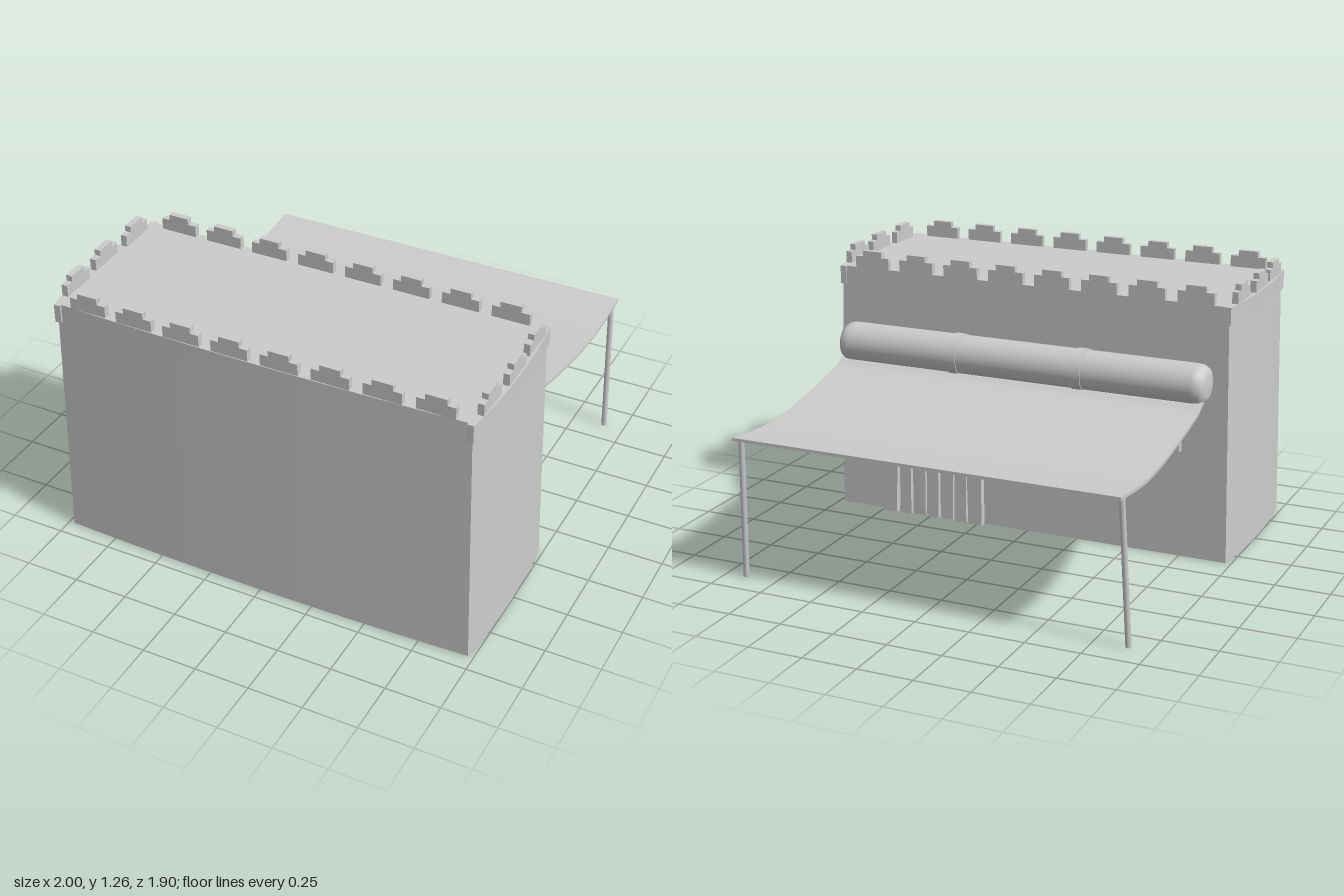
import * as THREE from 'three';

const stone = new THREE.MeshStandardMaterial({ color: 0xcccccc, side: THREE.DoubleSide });
stone.name = 'plain grey';

const BACK = 0.15, FRONT = 0.925, MID = (BACK + FRONT) / 2, TOP = 1.18;

// Outline of the building: walls bow outward and lean in a little with height
const sideX = (y, z) => 0.975 + 0.025 * (1 - ((z - MID) / (FRONT - MID)) ** 2) - 0.025 * (y / TOP);
const frontZ = (x, y) => FRONT + 0.022 * (1 - x * x) - 0.01 * (y / TOP);

export function createModel() {
  const model = new THREE.Group();
  model.name = 'fortHouse';

  const add = (name, geometry, x = 0, y = 0, z = 0, parent = model) => {
    const mesh = new THREE.Mesh(geometry, stone);
    mesh.name = name;
    mesh.position.set(x, y, z);
    parent.add(mesh);
    return mesh;
  };
  const box = (name, w, h, d, x, y, z, parent) => add(name, new THREE.BoxGeometry(w, h, d), x, y, z, parent);
  const warp = (geometry, rule) => {
    const p = geometry.attributes.position;
    for (let i = 0; i < p.count; i++) p.setXYZ(i, ...rule(p.getX(i), p.getY(i), p.getZ(i)));
    geometry.computeVertexNormals();
    return geometry;
  };
  const group = (name) => {
    const g = new THREE.Group();
    g.name = name;
    model.add(g);
    return g;
  };

  // Walls and roof, open underneath
  const walls = new THREE.BoxGeometry(2, 1, 1, 12, 4, 8);
  const floor = walls.groups[3];
  const index = Array.from(walls.index.array);
  index.splice(floor.start, floor.count);
  walls.setIndex(index);
  walls.clearGroups();
  add('walls', warp(walls, (x, v, w) => {
    const y = (v + 0.5) * TOP;
    const zFlat = MID + w * (FRONT - BACK);
    const px = x * sideX(y, zFlat);
    const back = BACK + 0.005 * (y / TOP);
    return [px, y, back + (w + 0.5) * (frontZ(x, y) - back)];
  }));

  // Raised band along the top of both end walls
  for (const s of [-1, 1]) {
    const band = new THREE.BoxGeometry(0.03, 0.085, FRONT - BACK + 0.005, 1, 1, 8);
    add(s > 0 ? 'leftBand' : 'rightBand', warp(band, (x, y, z) =>
      [s * (sideX(1.14, MID + z) - 0.005) + x, y + 1.1375, MID + z]));
  }

  // Stepped battlements
  const battlements = group('battlements');
  const merlonShape = new THREE.Shape([
    [-0.085, 0], [0.085, 0], [0.085, 0.053], [0.047, 0.053], [0.047, 0.08],
    [-0.047, 0.08], [-0.047, 0.053], [-0.085, 0.053]
  ].map(([x, y]) => new THREE.Vector2(x, y)));
  const merlonGeometry = new THREE.ExtrudeGeometry(merlonShape, { depth: 0.028, bevelEnabled: false });
  merlonGeometry.translate(0, 0, -0.014);
  for (let i = 0; i < 8; i++) {
    const x = (i - 3.5) * 0.2275;
    add('frontMerlon', merlonGeometry, x, TOP, frontZ(x, TOP) - 0.018, battlements);
    add('backMerlon', merlonGeometry, x, TOP, BACK + 0.02, battlements);
  }
  for (const s of [-1, 1])
    for (const z of [0.305, 0.535, 0.765])
      add('sideMerlon', merlonGeometry, s * (sideX(TOP, z) - 0.012), TOP, z, battlements).rotation.y = Math.PI / 2;

  // Rolled cloth with rounded ends and two straps
  const half = [[0, 0.9], [0.05, 0.898], [0.077, 0.888], [0.09, 0.868], [0.094, 0.84]];
  const profile = [
    ...half.map(([r, l]) => new THREE.Vector2(r, -l)),
    ...half.slice().reverse().map(([r, l]) => new THREE.Vector2(r, l))
  ];
  const roll = group('awningRoll');
  roll.position.set(0, 0.843, 0.07);
  roll.rotation.z = Math.PI / 2;
  add('roll', new THREE.LatheGeometry(profile, 40), 0, 0, 0, roll);
  for (const s of [-1, 1])
    add('strap', new THREE.CylinderGeometry(0.099, 0.099, 0.045, 40), 0, s * 0.305, 0, roll);

  // Sagging awning, swept along x
  const sag = new THREE.SplineCurve([
    [-0.03, 0.787], [0.0, 0.772], [0.08, 0.74], [0.4, 0.675], [0.67, 0.648], [0.95, 0.67]
  ].map(([x, y]) => new THREE.Vector2(x, y))).getPoints(24);
  const lower = sag.map(p => new THREE.Vector2(p.x, p.y - 0.014)).reverse();
  const cloth = new THREE.ExtrudeGeometry(new THREE.Shape([...sag, ...lower]), { depth: 1.78, bevelEnabled: false });
  cloth.rotateY(Math.PI / 2).translate(-0.89, 0, 0);
  add('awning', cloth);

  // Leaning poles
  for (const s of [-1, 1]) {
    const path = new THREE.LineCurve3(new THREE.Vector3(s * 0.902, 0, -0.865), new THREE.Vector3(s * 0.875, 0.658, -0.9));
    const pole = new THREE.CylinderGeometry(0.013, 0.013, path.getLength(), 12);
    const mid = path.getPoint(0.5);
    add(s > 0 ? 'leftPole' : 'rightPole', pole, mid.x, mid.y, mid.z)
      .quaternion.setFromUnitVectors(new THREE.Vector3(0, 1, 0), path.getTangent(0));
  }

  // Framed windows with sloping reveals
  const square = (T, w, h) => new T([[-w, -h], [w, -h], [w, h], [-w, h]].map(([x, y]) => new THREE.Vector2(x, y)));
  const frameShape = square(THREE.Shape, 0.09, 0.083);
  frameShape.holes.push(square(THREE.Path, 0.055, 0.05));
  const frameGeometry = new THREE.ExtrudeGeometry(frameShape, { depth: 0.035, bevelEnabled: false });
  const reveal = new THREE.CylinderGeometry(0.03, 0.053, 0.025, 4, 1, true).toNonIndexed();
  reveal.scale(Math.SQRT2, 1, Math.SQRT2).rotateY(Math.PI / 4).rotateX(Math.PI / 2);
  reveal.computeVertexNormals();
  for (const x of [-0.66, -0.06]) {
    const window = group('window');
    window.position.set(x, 0.585, 0.12);
    add('windowFrame', frameGeometry, 0, 0, 0, window);
    add('windowReveal', reveal, 0, 0, 0.017, window);
  }

  // Door frame and planks
  const door = group('door');
  door.position.set(0.48, 0, 0);
  const doorFrame = new THREE.Shape([
    [-0.26, 0], [-0.19, 0], [-0.175, 0.59], [0.175, 0.59], [0.19, 0], [0.26, 0],
    [0.25, 0.64], [0.225, 0.668], [-0.225, 0.668], [-0.25, 0.64]
  ].map(([x, y]) => new THREE.Vector2(x, y)));
  add('doorFrame', new THREE.ExtrudeGeometry(doorFrame, { depth: 0.04, bevelEnabled: false }), 0, 0, 0.118, door);
  for (let i = 0; i < 5; i++)
    box('plank', 0.058, 0.59, 0.03, (i - 2) * 0.073, 0.295, i % 2 ? 0.15 : 0.142, door);

  return model;
}
